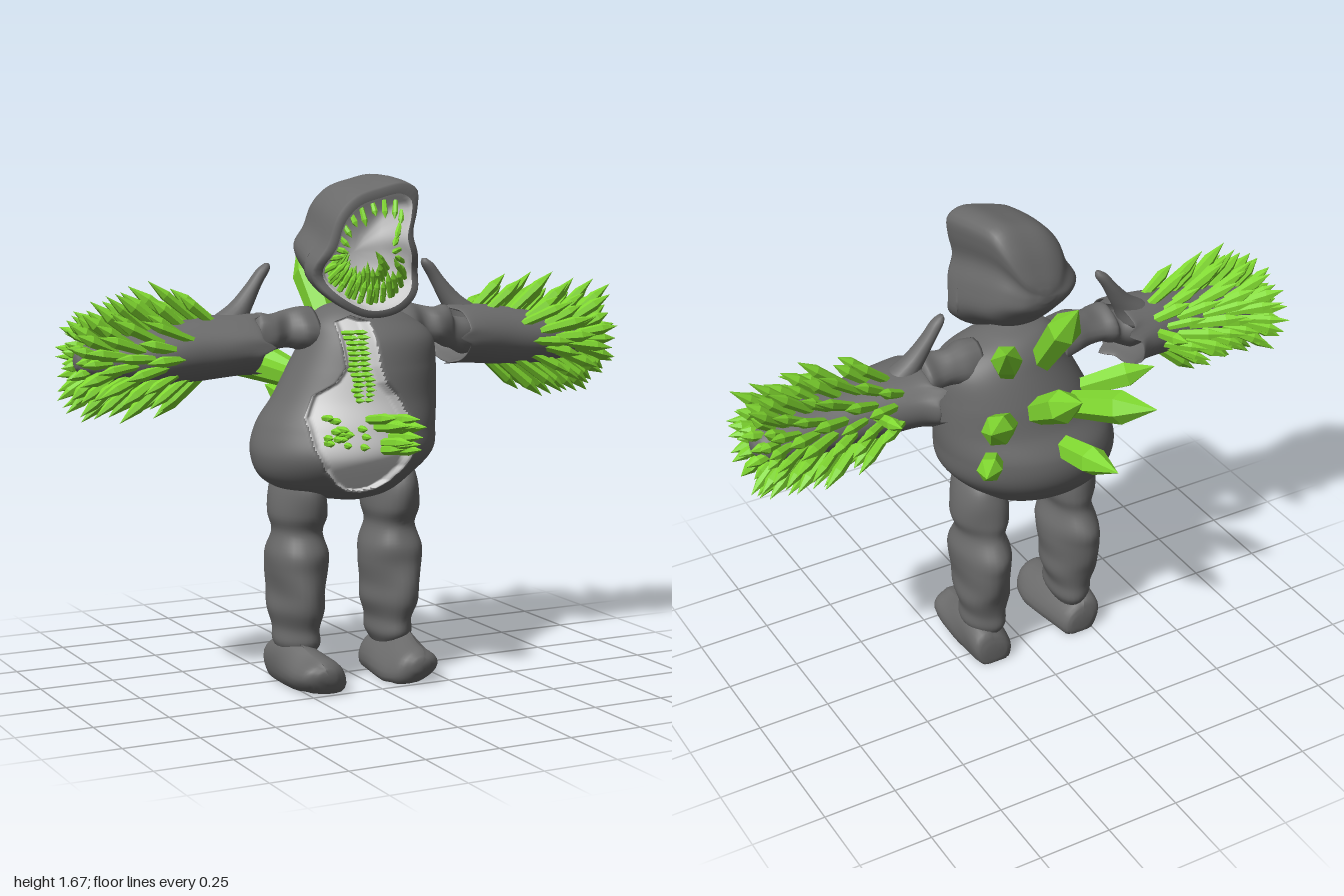
import * as THREE from 'three';
import { mergeGeometries } from 'three/addons/utils/BufferGeometryUtils.js';

const V = (x, y, z) => new THREE.Vector3(x, y, z);
const TAU = Math.PI * 2;
const stone = new THREE.MeshStandardMaterial({ color: 0x6a6a6a, side: THREE.DoubleSide });
const pale = new THREE.MeshStandardMaterial({ color: 0xcccccc, side: THREE.DoubleSide });
const green = new THREE.MeshStandardMaterial({ color: 0x80d830, flatShading: true });

function seeded(seed) {
  return () => (seed = (seed * 16807) % 2147483647) / 2147483647;
}

function add(parent, name, geometry, material) {
  const mesh = new THREE.Mesh(geometry, material);
  mesh.name = name;
  parent.add(mesh);
}

// Smooth interpolation between the rows of a section table
function spline(rows) {
  const size = rows[0].length;
  const s = new THREE.CubicInterpolant(rows.map((_, i) => i), rows.flat(), size, new Float32Array(size));
  return p => Array.from(s.evaluate(p));
}

// Closed rings of points joined into a smooth skin
function skin(rings, capStart = true, capEnd = true) {
  const n = rings[0].length, pts = rings.flat(), index = [];
  for (let i = 0; i < rings.length - 1; i++) for (let j = 0; j < n; j++) {
    const a = i * n + j, b = i * n + (j + 1) % n;
    index.push(a, a + n, b, b, a + n, b + n);
  }
  const cap = (row, flip) => {
    const c = rings[row].reduce((s, p) => s.add(p), V(0, 0, 0)).divideScalar(n);
    const k = pts.push(c) - 1;
    for (let j = 0; j < n; j++) {
      const a = row * n + j, b = row * n + (j + 1) % n;
      index.push(k, flip ? b : a, flip ? a : b);
    }
  };
  if (capStart) cap(0, false);
  if (capEnd) cap(rings.length - 1, true);
  const g = new THREE.BufferGeometry().setFromPoints(pts);
  g.setIndex(index);
  g.computeVertexNormals();
  return g;
}

// Elliptical sections along an axis: row = [t, centreU, centreV, radiusU, radiusV]
const PLACE = { x: (t, u, v) => V(t, v, u), y: (t, u, v) => V(u, t, v), z: (t, u, v) => V(v, u, t) };
function loft(axis, rows, { steps = 40, sides = 32, lump = 0, edit = p => p } = {}) {
  const at = spline(rows), rings = [];
  for (let i = 0; i <= steps; i++) {
    const q = i / steps * (rows.length - 1), [t, cu, cv, ru, rv] = at(q), ring = [];
    for (let j = 0; j < sides; j++) {
      const a = j / sides * TAU, k = 1 + lump * Math.sin(3 * a + 14 * t);
      ring.push(edit(PLACE[axis](t, cu + ru * k * Math.cos(a), cv + rv * k * Math.sin(a)), q, a));
    }
    rings.push(ring);
  }
  return skin(rings);
}

// Six-sided crystal with a pointed end
function crystal(base, tip, r) {
  const d = tip.clone().sub(base), L = d.length();
  const g = new THREE.LatheGeometry([[0, 0], [r * 0.75, 0], [r, L * 0.65], [0, L]].map(p => new THREE.Vector2(...p)), 6);
  g.applyQuaternion(new THREE.Quaternion().setFromUnitVectors(V(0, 1, 0), d.normalize()));
  return g.translate(base.x, base.y, base.z);
}

function buildTorso(root) {
  // Opening down the chest and belly: [y, centre, half width]
  const gap = [[0.655, -0.07, 0], [0.665, -0.07, 0.06], [0.69, -0.07, 0.1], [0.74, -0.075, 0.145], [0.81, -0.08, 0.17],
    [0.9, -0.085, 0.17], [0.97, -0.085, 0.135], [1.01, -0.07, 0.085], [1.06, -0.06, 0.058], [1.2, -0.065, 0.055], [1.22, -0.065, 0]];
  const inside = p => {
    const i = gap.findIndex((r, k) => k < gap.length - 1 && p.y >= r[0] && p.y < gap[k + 1][0]);
    if (i < 0 || p.z < 0.03) return -1;
    const f = (p.y - gap[i][0]) / (gap[i + 1][0] - gap[i][0]);
    const mix = k => THREE.MathUtils.lerp(gap[i][k], gap[i + 1][k], f);
    return mix(2) - Math.abs(p.x - mix(1));
  };
  const flags = [];
  const g = loft('y', [
    [0.61, -0.03, 0.06, 0.05, 0.05], [0.635, -0.05, 0.05, 0.16, 0.14], [0.685, -0.07, 0.045, 0.25, 0.215],
    [0.77, -0.05, 0.05, 0.307, 0.275], [0.86, -0.03, 0.04, 0.303, 0.27], [0.95, 0, 0.045, 0.28, 0.23],
    [1.05, 0.025, 0.05, 0.254, 0.205], [1.14, 0.04, 0.055, 0.225, 0.175], [1.2, 0.02, 0.045, 0.18, 0.135],
    [1.24, 0, 0.04, 0.11, 0.09], [1.26, 0, 0.04, 0.04, 0.03]], {
    steps: 150, sides: 220, edit: p => {
      const d = inside(p);
      flags.push(d > 0);
      if (d > 0) p.z -= 0.035 * THREE.MathUtils.smoothstep(d, 0, 0.03);
      return p;
    } });
  const parts = [[], []], ix = g.index.array;
  for (let i = 0; i < ix.length; i += 3) {
    const t = [ix[i], ix[i + 1], ix[i + 2]];
    parts[t.every(k => flags[k]) ? 1 : 0].push(...t);
  }
  ['torso', 'torsoOpening'].forEach((name, i) => add(root, name, g.clone().setIndex(parts[i]), [stone, pale][i]));

  // Crystals in the belly and chest
  const rnd = seeded(7), list = [];
  for (let i = 0; i < 14; i++) {
    const x = -0.06 + 0.1 * rnd(), y = 0.77 + 0.13 * rnd();
    list.push(crystal(V(x, y, 0.23), V(x + 0.03, y + 0.025, 0.38 + 0.08 * rnd()), 0.018));
  }
  for (let i = 0; i < 16; i++) {
    const x = -0.2 + 0.14 * rnd(), y = 0.79 + 0.11 * rnd();
    list.push(crystal(V(x, y, 0.2), V(x - 0.02, y + 0.015, 0.3 + 0.06 * rnd()), 0.012));
  }
  for (let i = 0; i < 28; i++) {
    const x = -0.1 + 0.035 * (i % 2) + 0.012 * rnd(), y = 0.95 + 0.0165 * Math.floor(i / 2);
    const z = 0.24 - Math.max(0, y - 1.03) * 0.35;
    list.push(crystal(V(x, y, z - 0.05), V(x + 0.025, y + 0.005, z + 0.02), 0.009));
  }
  add(root, 'bellyCrystals', mergeGeometries(list), green);

  // Large crystals on the back: base, tip, radius
  add(root, 'backCrystals', mergeGeometries([
    [[0.08, 1.15, -0.06], [0.23, 1.38, -0.32], 0.05], [[-0.04, 1.14, -0.06], [-0.05, 1.44, -0.28], 0.056],
    [[0.1, 0.98, -0.1], [0.28, 1.1, -0.31], 0.052], [[0.02, 0.99, -0.1], [0.01, 1.19, -0.41], 0.056],
    [[-0.1, 0.98, -0.08], [-0.25, 1.1, -0.44], 0.056], [[-0.05, 0.87, -0.1], [-0.09, 0.93, -0.47], 0.05],
    [[-0.18, 1.0, -0.06], [-0.41, 1.08, -0.18], 0.045], [[0.14, 0.86, -0.08], [0.28, 0.92, -0.28], 0.042],
  ].map(([b, t, r]) => crystal(V(...b), V(...t), r))), green);
}

function buildHead(root) {
  // Rim outline, clockwise from the top as seen from the front
  const outline = new THREE.CatmullRomCurve3([[0.03, 1.63], [0.12, 1.645], [0.165, 1.62], [0.165, 1.56], [0.15, 1.48],
    [0.175, 1.4], [0.18, 1.3], [0.11, 1.23], [0, 1.21], [-0.1, 1.245], [-0.18, 1.31], [-0.2, 1.37], [-0.155, 1.45],
    [-0.12, 1.54], [-0.06, 1.6]].map(p => V(p[0], p[1] - 1.42, 0)), true).getSpacedPoints(72).slice(0, 72);
  // The rim dips back a little beside the jaw
  const ring = ([z, x, y, sx, sy]) => outline.map(p =>
    V(x + p.x * sx, y + p.y * sy, z - (z > 0.1 ? 0.03 * Math.exp(-(((p.y + 0.08) / 0.06) ** 2)) : 0)));
  const at = spline([[-0.175, 0, 1.45, 0.12, 0.1], [-0.16, 0, 1.455, 0.42, 0.3], [-0.12, 0, 1.475, 0.68, 0.58],
    [-0.06, 0, 1.475, 0.84, 0.83], [0.04, 0, 1.455, 0.95, 0.93], [0.12, 0, 1.43, 1, 1], [0.17, 0, 1.42, 1, 1]]);
  const hood = [];
  for (let i = 0; i <= 30; i++) hood.push(ring(at(i / 5)));
  const lip = [0.18, 0, 1.415, 0.84, 0.86];
  hood.push(ring([0.182, 0, 1.42, 0.96, 0.97]), ring(lip));
  add(root, 'hood', skin(hood, true, false), stone);
  add(root, 'faceOpening', skin([lip, [0.17, 0, 1.415, 0.78, 0.81], [0.1, 0, 1.415, 0.74, 0.77],
    [0.05, 0, 1.415, 0.6, 0.6], [0.03, 0, 1.415, 0.25, 0.25]].map(ring), false, true), pale);

  // Teeth round the opening, with extra rows along the jaw
  const list = [], rnd = seeded(5);
  const tooth = (p, s, z, len) => {
    const b = V(p.x * s, 1.415 + p.y * s, z);
    const inward = V(-p.x * 0.5, -p.y, 0).normalize();
    list.push(crystal(b, b.clone().addScaledVector(inward, len * (0.75 + 0.5 * rnd())).add(V(0, 0, 0.03)), 0.01));
  };
  outline.forEach((p, i) => {
    if (i % 3 === 0) tooth(p, 0.77, 0.13, 0.055);
    if (p.y < -0.08) {
      if (i % 2) tooth(p, 0.75, 0.14, 0.075);
      else tooth(p, 0.6, 0.07, 0.08);
    }
  });
  add(root, 'teeth', mergeGeometries(list), green);
}

function buildArm(root, side, name, seed) {
  const arm = new THREE.Group();
  arm.name = name;
  arm.scale.x = side;
  root.add(arm);
  add(arm, 'upperArm', loft('x', [[0.15, 0.03, 1.16, 0.08, 0.08], [0.2, 0.03, 1.17, 0.08, 0.07],
    [0.25, 0.02, 1.17, 0.06, 0.06], [0.3, 0.03, 1.165, 0.07, 0.058], [0.345, 0.02, 1.16, 0.07, 0.07],
    [0.37, 0.02, 1.14, 0.055, 0.055], [0.42, 0.01, 1.13, 0.07, 0.065], [0.47, 0.01, 1.13, 0.06, 0.06]],
    { sides: 20, lump: 0.08 }), stone);

  // Hollow forearm: inner cup, jagged cuff, then the outer surface
  const rows = [[0.47, 0, 1.13, 0.09, 0.06], [0.42, 0, 1.13, 0.125, 0.08], [0.385, 0, 1.13, 0.155, 0.09],
    [0.38, 0, 1.13, 0.165, 0.1], [0.43, 0.01, 1.13, 0.148, 0.1], [0.55, 0.015, 1.12, 0.128, 0.1],
    [0.7, 0.02, 1.105, 0.115, 0.09], [0.83, 0.01, 1.1, 0.092, 0.075], [0.92, 0, 1.1, 0.06, 0.05], [0.95, 0, 1.1, 0.02, 0.02]];
  add(arm, 'forearm', loft('x', rows, { steps: 54, sides: 60, edit: (p, q, a) => {
    p.x -= 0.045 * Math.max(0, Math.cos(5 * a)) ** 3 * Math.max(0, 1 - Math.abs(q - 3) / 1.5);
    return p;
  } }), stone);
  add(arm, 'cuffHorn', loft('y', [[1.16, 0.46, 0, 0.08, 0.07], [1.21, 0.43, 0, 0.065, 0.05],
    [1.26, 0.38, -0.005, 0.04, 0.035], [1.32, 0.335, -0.01, 0.026, 0.027], [1.365, 0.303, -0.01, 0.022, 0.022],
    [1.385, 0.29, -0.01, 0.008, 0.01]], { steps: 20, sides: 16 }), stone);

  // Crystals sweeping outward along the forearm
  const rnd = seeded(seed), at = spline(rows), list = [];
  for (let i = 0; i < 100; i++) {
    const q = 4.3 + 3.3 * i / 100, a = i * 2.4;
    const [x, cz, cy, rz, ry] = at(q), c = Math.cos(a), s = Math.sin(a);
    if (c > 0.4 && x < 0.58 || s < -0.3 && x < 0.5) continue;
    const base = V(x, cy + s * ry * 0.85, cz + c * rz * 0.85);
    const dir = V(0.75, s * 0.62, c * (c > 0 ? 0.12 : 0.5)).normalize();
    const len = Math.min(0.14 + 0.08 * rnd(), (0.99 - 0.05 * rnd() - x) / dir.x);
    list.push(crystal(base, base.clone().addScaledVector(dir, len), 0.016 + 0.006 * rnd()));
  }
  for (let i = 0; i < 7; i++) {
    const y = Math.sin(i * 0.9) * 0.03, z = Math.cos(i * 0.9) * 0.04;
    list.push(crystal(V(0.88, 1.1 + y, z), V(0.97 + 0.025 * rnd(), 1.1 + y * 2, z * 1.6), 0.017));
  }
  const bx = side > 0 ? 0.57 : 0.47;
  list.push(crystal(V(bx, 1.15, -0.1), V(bx, 1.2, -0.28), 0.022));
  add(arm, 'armCrystals', mergeGeometries(list), green);
}

function buildLeg(root, side, name, x) {
  const leg = new THREE.Group();
  leg.name = name;
  leg.scale.x = side;
  leg.position.x = x;
  root.add(leg);
  add(leg, 'legSegments', loft('y', [[0.1, 0, 0.02, 0.05, 0.08], [0.14, 0, 0.025, 0.07, 0.11], [0.19, 0, 0.025, 0.07, 0.112],
    [0.25, 0, 0.03, 0.088, 0.13], [0.31, 0, 0.025, 0.085, 0.142], [0.38, 0, 0.02, 0.095, 0.143], [0.44, 0, 0.02, 0.095, 0.145],
    [0.51, 0, 0.025, 0.076, 0.113], [0.57, 0, 0.035, 0.09, 0.128], [0.65, 0, 0.04, 0.083, 0.13],
    [0.71, 0, 0.04, 0.06, 0.1], [0.73, 0, 0.04, 0.02, 0.04]], { steps: 60, sides: 28, lump: 0.05 }), stone);
  // Wedge foot: the instep leans over toward the other leg at the sole
  add(leg, 'foot', loft('z', [[-0.09, 0.05, 0, 0.03, 0.04], [-0.07, 0.05, 0.005, 0.08, 0.07], [0.02, 0.06, 0, 0.09, 0.082],
    [0.1, 0.06, -0.005, 0.085, 0.088], [0.18, 0.055, -0.01, 0.07, 0.088], [0.24, 0.06, -0.01, 0.055, 0.075],
    [0.27, 0.07, -0.01, 0.02, 0.03]], { steps: 24, sides: 24, lump: 0.06, edit: p => {
    p.y = Math.max(0, p.y);
    p.x += (p.x < 0 ? 0.35 * (p.y - 0.04) : 0.1 * (p.y - 0.04));
    return p;
  } }), stone);
}

export function createModel() {
  const root = new THREE.Group();
  root.name = 'crystalCreature';
  buildTorso(root);
  buildHead(root);
  buildArm(root, 1, 'leftArm', 11);
  buildArm(root, -1, 'rightArm', 29);
  buildLeg(root, 1, 'leftLeg', 0.14);
  buildLeg(root, -1, 'rightLeg', -0.205);
  return root;
}
